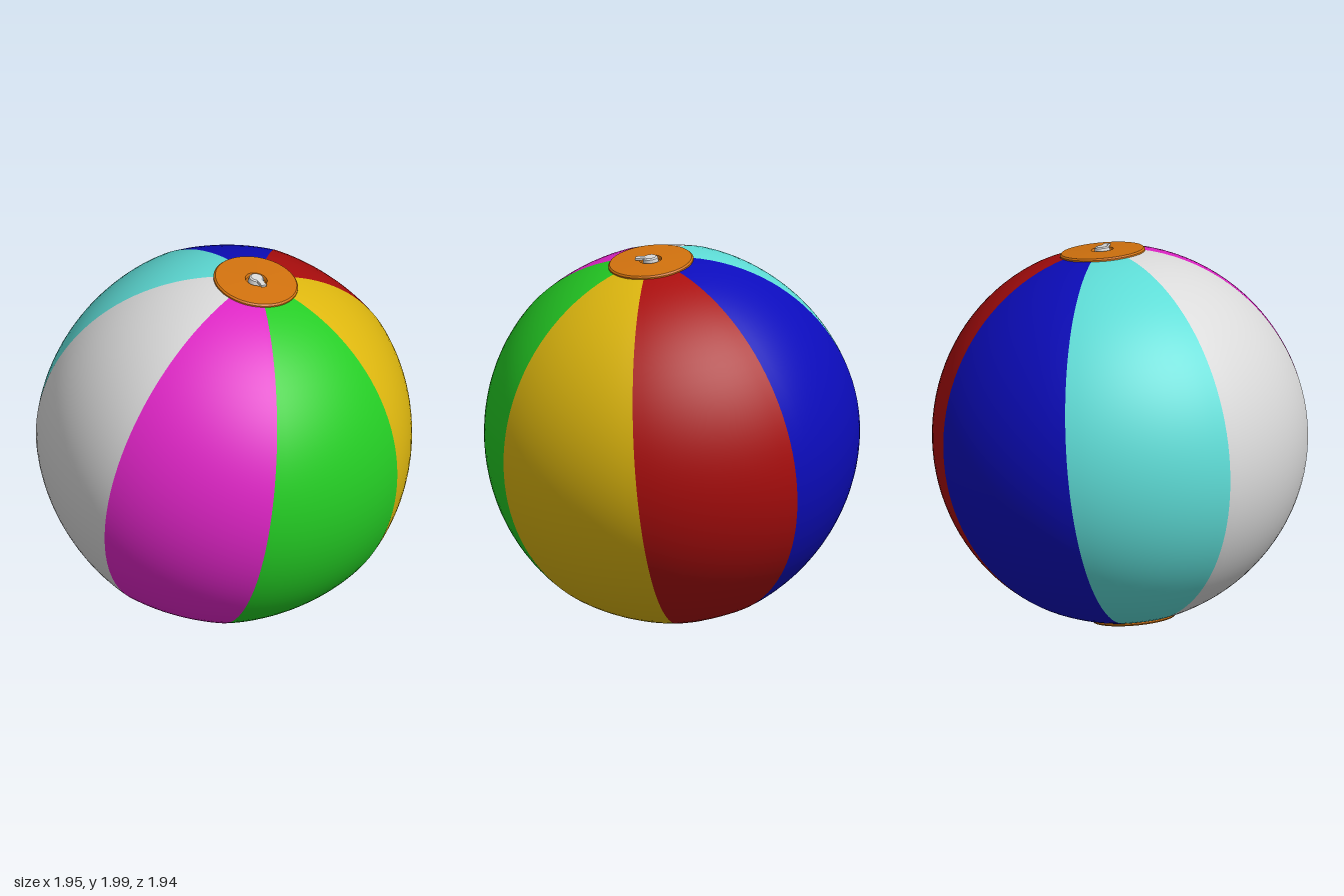
import * as THREE from 'three';
import { toCreasedNormals } from 'three/addons/utils/BufferGeometryUtils.js';

const COUNT = 7, STEP = (Math.PI * 2) / COUNT, START = 0.026;
const RADIUS = 0.985, POLE = 0.21; // POLE: polar angle where panels end under the caps

const mat = (name, color) => {
  const m = new THREE.MeshStandardMaterial({ color });
  m.name = name;
  return m;
};

// One gore of the ball: a spherical wedge slightly flattened between its seams
function panelGeometry(phi0) {
  const rows = 48, cols = 14, pos = [], index = [];
  for (let i = 0; i <= rows; i++) {
    const t = POLE + ((Math.PI - 2 * POLE) * i) / rows;
    for (let j = 0; j <= cols; j++) {
      const u = j / cols, p = phi0 + u * STEP;
      const r = Math.sin(t) * (RADIUS - 0.02 * Math.sin(u * Math.PI));
      pos.push(r * Math.cos(p), RADIUS * Math.cos(t), r * Math.sin(p));
      if (i < rows && j < cols) {
        const a = i * (cols + 1) + j, b = a + cols + 1;
        index.push(a, a + 1, b, a + 1, b + 1, b);
      }
    }
  }
  const g = new THREE.BufferGeometry();
  g.setAttribute('position', new THREE.Float32BufferAttribute(pos, 3));
  g.setIndex(index);
  g.computeVertexNormals();
  return g;
}

function lathe(points, segments = 56) {
  const g = new THREE.LatheGeometry(points.map(([x, y]) => new THREE.Vector2(x, y)), segments);
  return toCreasedNormals(g, 0.5);
}

export function createModel() {
  const white = mat('white', 0xdadada);
  const orange = mat('orange', 0xd2720e);
  const panels = [
    mat('green', 0x24cc24), mat('magenta', 0xdf24c6), white, mat('cyan', 0x5eddd7),
    mat('blue', 0x0c0cbc), mat('red', 0xab0d0d), mat('yellow', 0xdfb80f),
  ];

  const model = new THREE.Group();
  model.name = 'beachBall';
  const ball = new THREE.Group();
  ball.name = 'tiltedBall';
  model.add(ball);

  const add = (name, geometry, material, parent = ball) => {
    const mesh = new THREE.Mesh(geometry, material);
    mesh.name = name;
    parent.add(mesh);
    return mesh;
  };

  // Coloured panels
  panels.forEach((m, k) => add(m.name + 'Panel', panelGeometry(START + k * STEP), m));

  // Round end caps; the top one has a recess for the valve
  const rim = [[0, 0.95], [0.222, 0.95], [0.222, 0.966], [0.214, 0.974]];
  add('topCap', lathe([...rim, [0.058, 0.98], [0.052, 0.964], [0, 0.964]]), orange);
  add('bottomCap', lathe([...rim, [0, 0.98]]), orange).rotation.x = Math.PI;

  // Valve: short nozzle with a stopper tab
  const valve = new THREE.Group();
  valve.name = 'valve';
  valve.position.y = 0.964;
  valve.rotation.y = -0.6;
  ball.add(valve);
  add('nozzle', lathe([[0, 0], [0.042, 0], [0.038, 0.026], [0.03, 0.032], [0, 0.032]], 20), white, valve);
  const tab = add('stopperTab', new THREE.BoxGeometry(0.055, 0.012, 0.03), white, valve);
  tab.position.set(0.05, 0.026, 0);

  // Lean the ball on its side a little
  const axis = new THREE.Vector3(0.152, 0.987, -0.054).normalize();
  ball.quaternion.setFromUnitVectors(new THREE.Vector3(0, 1, 0), axis);
  ball.position.set(-0.006, 1, 0);
  return model;
}
